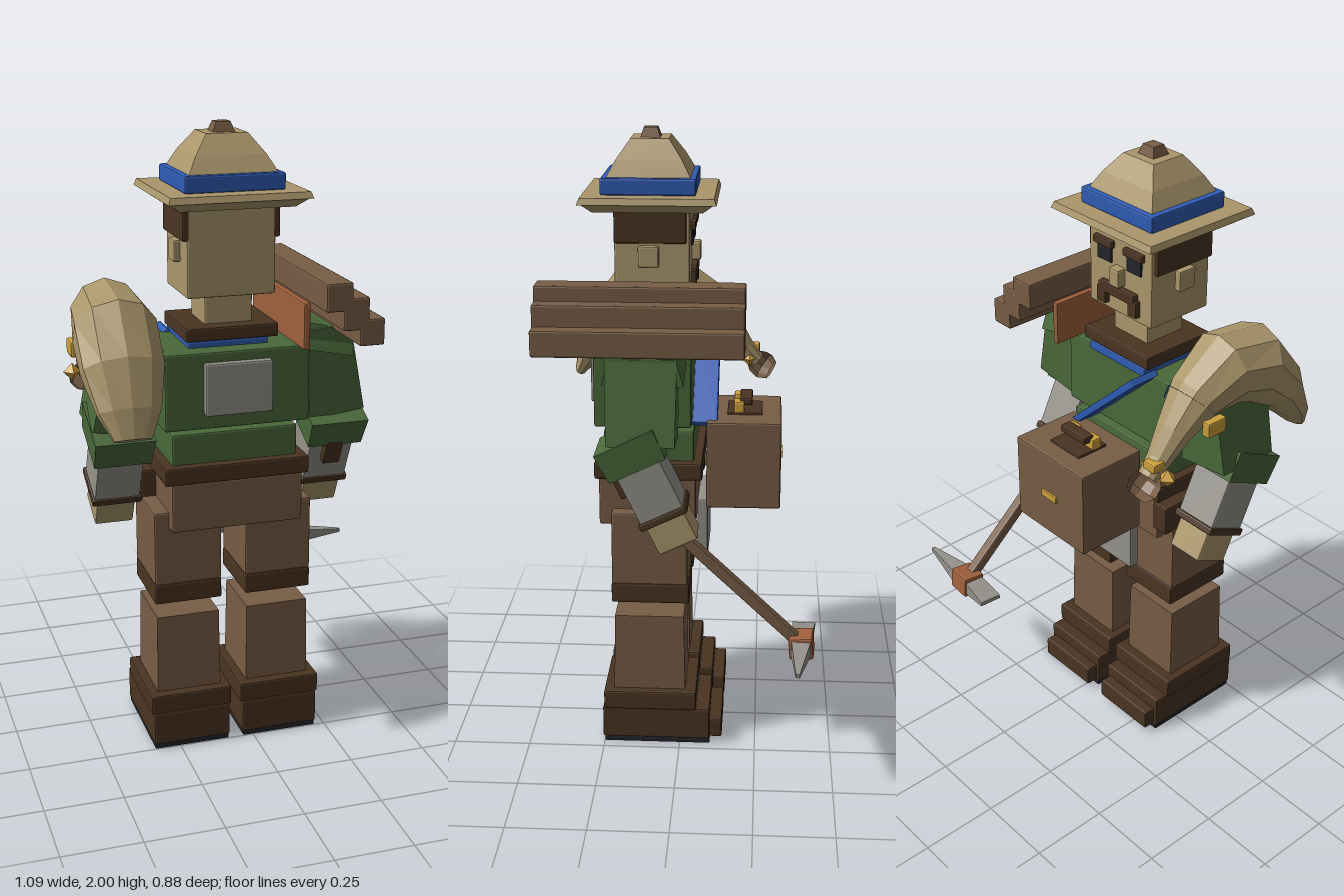
import * as THREE from 'three';
import { RoundedBoxGeometry } from 'three/addons/geometries/RoundedBoxGeometry.js';

const material = (name, color) => {
  const m = new THREE.MeshStandardMaterial({ color });
  m.name = name;
  return m;
};

export function createModel() {
  const model = new THREE.Group();
  const tan = material('tan', 0xab976c);
  tan.side = THREE.DoubleSide;
  const brown = material('brown', 0x775d45);
  const dark = material('darkBrown', 0x4a3422);
  const green = material('green', 0x4a693b);
  const grey = material('grey', 0x95928b);
  const blue = material('blue', 0x2f5cb5);
  const gold = material('gold', 0xcfa03a);
  const copper = material('copper', 0xa0603c);
  const black = material('black', 0x23252c);
  const CX = -0.063; // body centre line

  const add = (name, geo, mat, parent = model) => {
    const mesh = new THREE.Mesh(geo, mat);
    mesh.name = name;
    parent.add(mesh);
    return mesh;
  };
  // Bevelled box given by its min and max along x, y and z
  const box = (name, mat, x0, x1, y0, y1, z0, z1, parent = model) => {
    const s = [x1 - x0, y1 - y0, z1 - z0];
    const geo = new RoundedBoxGeometry(...s, 1, Math.min(0.006, Math.min(...s) * 0.2));
    geo.computeVertexNormals();
    const mesh = add(name, geo, mat, parent);
    mesh.position.set((x0 + x1) / 2, (y0 + y1) / 2, (z0 + z1) / 2);
    return mesh;
  };
  // Box whose bottom (w0 x d0) and top (w1 x d1) differ
  const taper = (name, mat, w0, d0, w1, d1, h, x, y, z, parent = model) => {
    const geo = new THREE.BoxGeometry(1, h, 1).toNonIndexed();
    const p = geo.attributes.position;
    for (let i = 0; i < p.count; i++) {
      const top = p.getY(i) > 0;
      p.setX(i, p.getX(i) * (top ? w1 : w0));
      p.setZ(i, p.getZ(i) * (top ? d1 : d0));
    }
    geo.computeVertexNormals();
    const mesh = add(name, geo, mat, parent);
    mesh.position.set(x, y, z);
    return mesh;
  };

  // Hat
  const HZ = 0.103;
  taper('hatBrimUnderside', tan, 0.36, 0.34, 0.43, 0.41, 0.03, CX, 1.775, HZ);
  taper('hatBrim', tan, 0.445, 0.425, 0.43, 0.41, 0.02, CX, 1.798, HZ);
  box('hatBand', blue, CX - 0.157, CX + 0.157, 1.808, 1.86, HZ - 0.148, HZ + 0.148);
  taper('hatCrownLower', tan, 0.275, 0.26, 0.22, 0.205, 0.05, CX, 1.885, HZ);
  taper('hatCrownUpper', tan, 0.22, 0.205, 0.13, 0.12, 0.06, CX, 1.94, HZ);
  taper('hatKnob', brown, 0.068, 0.062, 0.045, 0.042, 0.03, CX, 1.985, HZ);

  // Head and face
  box('head', tan, -0.203, 0.077, 1.485, 1.77, -0.026, 0.21);
  for (const s of [-1, 1]) {
    const at = (name, mat, a, b, ...rest) =>
      box(name, mat, CX + Math.min(s * a, s * b), CX + Math.max(s * a, s * b), ...rest);
    at('sideHair', dark, 0.13, 0.154, 1.66, 1.765, -0.015, 0.21);
    at('ear', tan, 0.135, 0.161, 1.585, 1.652, 0.07, 0.135);
    at('eyebrow', dark, 0.025, 0.11, 1.695, 1.72, -0.042, -0.02);
    at('eye', black, 0.035, 0.098, 1.645, 1.697, -0.033, -0.025);
    at('moustacheEnd', dark, 0.05, 0.09, 1.505, 1.56, -0.044, -0.02);
  }
  box('nose', tan, CX - 0.022, CX + 0.022, 1.585, 1.645, -0.055, -0.02);
  box('moustache', dark, CX - 0.08, CX + 0.08, 1.545, 1.58, -0.046, -0.02);
  box('neck', tan, -0.138, 0.016, 1.35, 1.49, 0.02, 0.17);
  box('collar', dark, -0.21, 0.085, 1.352, 1.395, -0.045, 0.22);
  box('scarf', blue, -0.2, 0.055, 1.325, 1.352, -0.05, 0.21);

  // Torso, belt and hips
  box('chest', green, -0.293, 0.17, 1.09, 1.332, -0.035, 0.272);
  box('backPatch', grey, -0.17, 0.045, 1.135, 1.3, 0.26, 0.294);
  box('waist', green, -0.265, 0.14, 0.965, 1.07, -0.042, 0.245);
  box('belt', dark, -0.295, 0.172, 0.915, 0.972, -0.07, 0.275);
  box('hips', brown, -0.272, 0.155, 0.755, 0.915, -0.05, 0.262);
  box('pouch', dark, -0.32, -0.26, 0.8, 0.9, -0.06, 0.06);
  box('apron', grey, CX - 0.12, CX + 0.12, 0.605, 0.81, -0.085, -0.05);
  box('apronBuckle', gold, CX - 0.025, CX + 0.025, 0.755, 0.79, -0.095, -0.08);
  const strap = box('chestStrap', blue, -0.195, 0.195, -0.012, 0.012, -0.115, -0.01);
  strap.position.set(-0.075, 1.205, -0.0625);
  strap.rotation.z = -0.75;

  // Legs and boots
  for (const x of [-0.21, 0.09]) {
    box('thigh', brown, x - 0.11, x + 0.11, 0.565, 0.81, -0.025, 0.22);
    box('thighCuff', dark, x - 0.11, x + 0.11, 0.5, 0.567, -0.03, 0.222);
    taper('shin', brown, 0.212, 0.235, 0.205, 0.225, 0.26, x, 0.32, 0.1);
    box('bootCuff', dark, x - 0.135, x + 0.135, 0.125, 0.19, -0.055, 0.25);
    box('boot', dark, x - 0.128, x + 0.128, 0.018, 0.128, -0.1, 0.255);
    box('toeCap', dark, x - 0.115, x + 0.115, 0.02, 0.087, -0.14, -0.09);
    box('sole', black, x - 0.125, x + 0.125, 0, 0.02, -0.1, 0.25);
  }

  // Arms, bent towards the face side
  for (const s of [-1, 1]) {
    const upper = taper('upperArm', green, 0.185, 0.21, 0.15, 0.22, 0.29, CX + s * 0.33, 1.225, 0.11);
    upper.rotation.z = s * 0.13;
    const pad = taper('shoulderPad', green, 0.19, 0.25, 0.15, 0.2, 0.08, CX + s * 0.31, 1.33, 0.105);
    pad.rotation.z = -s * 0.2;
    const forearm = new THREE.Group();
    forearm.name = 'forearm';
    forearm.position.set(CX + s * 0.348, 1.06, 0.14);
    forearm.rotation.x = 0.45;
    model.add(forearm);
    taper('sleeveEnd', green, 0.18, 0.19, 0.19, 0.2, 0.1, 0, 0, 0, forearm);
    box('bracer', grey, -0.073, 0.073, -0.235, -0.03, -0.073, 0.073, forearm);
    box('wristBand', dark, -0.08, 0.08, -0.237, -0.213, -0.08, 0.08, forearm);
    box('hand', tan, -0.062, 0.062, -0.335, -0.235, -0.066, 0.066, forearm);
    if (s > 0) box('bracerClasp', dark, -0.03, 0.03, -0.13, -0.04, 0.07, 0.1, forearm);
  }

  // Case hung on the chest
  box('case', brown, -0.223, 0.098, 0.797, 1.087, -0.32, -0.08);
  box('caseHandleBase', dark, -0.133, 0.005, 1.08, 1.095, -0.258, -0.144);
  box('caseHandle', dark, -0.12, -0.006, 1.115, 1.14, -0.225, -0.185);
  for (const x of [-0.11, -0.018]) {
    box('handleClip', gold, x - 0.024, x + 0.024, 1.09, 1.13, -0.2, -0.165);
  }
  box('caseLatch', gold, CX - 0.035, CX + 0.035, 0.93, 0.953, -0.327, -0.315);

  // Planks on the shoulder and their support plate
  for (const [x0, x1, y0, y1] of [
    [0.157, 0.242, 1.47, 1.557], [0.212, 0.295, 1.41, 1.51], [0.265, 0.345, 1.36, 1.443],
  ]) box('plank', brown, x0, x1, y0, y1, -0.203, 0.442);
  box('shoulderPlate', copper, 0.115, 0.136, 1.342, 1.485, -0.13, 0.366);

  // Sack slung over the other shoulder: rings of [z, y, half width, half thickness]
  const SX = -0.42, N = 10;
  const loft = (name, mat, rings) => {
    const pos = [], idx = [];
    rings.forEach(([z, y, w, t], i) => {
      const a = rings[Math.max(i - 1, 0)], b = rings[Math.min(i + 1, rings.length - 1)];
      const l = Math.hypot(b[0] - a[0], b[1] - a[1]);
      const nz = -(b[1] - a[1]) / l, ny = (b[0] - a[0]) / l;
      for (let k = 0; k < N; k++) {
        const q = ((k + 0.5) / N) * Math.PI * 2, c = Math.sin(q) * t;
        pos.push(SX + Math.cos(q) * w, y + ny * c, z + nz * c);
        const n = i * N + k, m = i * N + (k + 1) % N;
        if (i < rings.length - 1) idx.push(n, n + N, m, m, n + N, m + N);
      }
    });
    const last = (rings.length - 1) * N;
    for (let k = 1; k < N - 1; k++) idx.push(0, k, k + 1, last, last + k + 1, last + k);
    let geo = new THREE.BufferGeometry();
    geo.setAttribute('position', new THREE.Float32BufferAttribute(pos, 3));
    geo.setIndex(idx);
    geo = geo.toNonIndexed();
    geo.computeVertexNormals();
    return add(name, geo, mat);
  };
  loft('sack', tan, [
    [0.385, 1.115, 0.06, 0.02], [0.345, 1.19, 0.1, 0.05], [0.27, 1.3, 0.13, 0.09],
    [0.17, 1.395, 0.132, 0.125], [0.06, 1.415, 0.115, 0.118], [-0.05, 1.36, 0.088, 0.085],
    [-0.13, 1.275, 0.06, 0.056], [-0.19, 1.2, 0.042, 0.038], [-0.235, 1.155, 0.034, 0.03],
  ]);
  const knot = loft('sackEnd', brown, [
    [-0.225, 1.165, 0.034, 0.032], [-0.24, 1.15, 0.05, 0.045], [-0.262, 1.132, 0.054, 0.048],
    [-0.285, 1.118, 0.038, 0.034],
  ]);
  knot.geometry.translate(-0.008, 0, 0);
  loft('sackBand', blue, [[-0.06, 1.35, 0.087, 0.086], [-0.085, 1.325, 0.08, 0.078]]);
  box('sackBuckle', gold, -0.52, -0.49, 1.27, 1.32, -0.085, -0.012);
  for (const x of [-0.48, -0.395]) {
    const stud = add('sackTie', new THREE.OctahedronGeometry(0.03), gold);
    stud.position.set(x, 1.17, -0.21);
  }
  box('sackTieBar', gold, -0.46, -0.41, 1.185, 1.215, -0.245, -0.2);

  // Pickaxe held in the hand
  const from = new THREE.Vector3(0.3, 0.81, 0.02), to = new THREE.Vector3(0.316, 0.425, -0.395);
  const handle = box('pickaxeHandle', brown, -0.018, 0.018, 0, from.distanceTo(to), -0.018, 0.018);
  handle.position.copy(from).lerp(to, 0.5);
  handle.quaternion.setFromUnitVectors(new THREE.Vector3(0, 1, 0), to.clone().sub(from).normalize());
  const pick = new THREE.Group();
  pick.name = 'pickaxeHead';
  pick.position.copy(to);
  pick.rotation.y = -0.07;
  model.add(pick);
  const block = box('pickaxeSocket', copper, -0.044, 0.044, -0.036, 0.036, -0.038, 0.038, pick);
  block.rotation.x = 0.08;
  const point = taper('pickaxePoint', grey, 0.055, 0.065, 0.012, 0.012, 0.2, 0.125, 0, 0, pick);
  point.rotation.z = -Math.PI / 2;
  const blade = taper('pickaxeBlade', grey, 0.055, 0.062, 0.014, 0.075, 0.125, -0.083, 0, 0, pick);
  blade.rotation.z = Math.PI / 2;

  return model;
}
